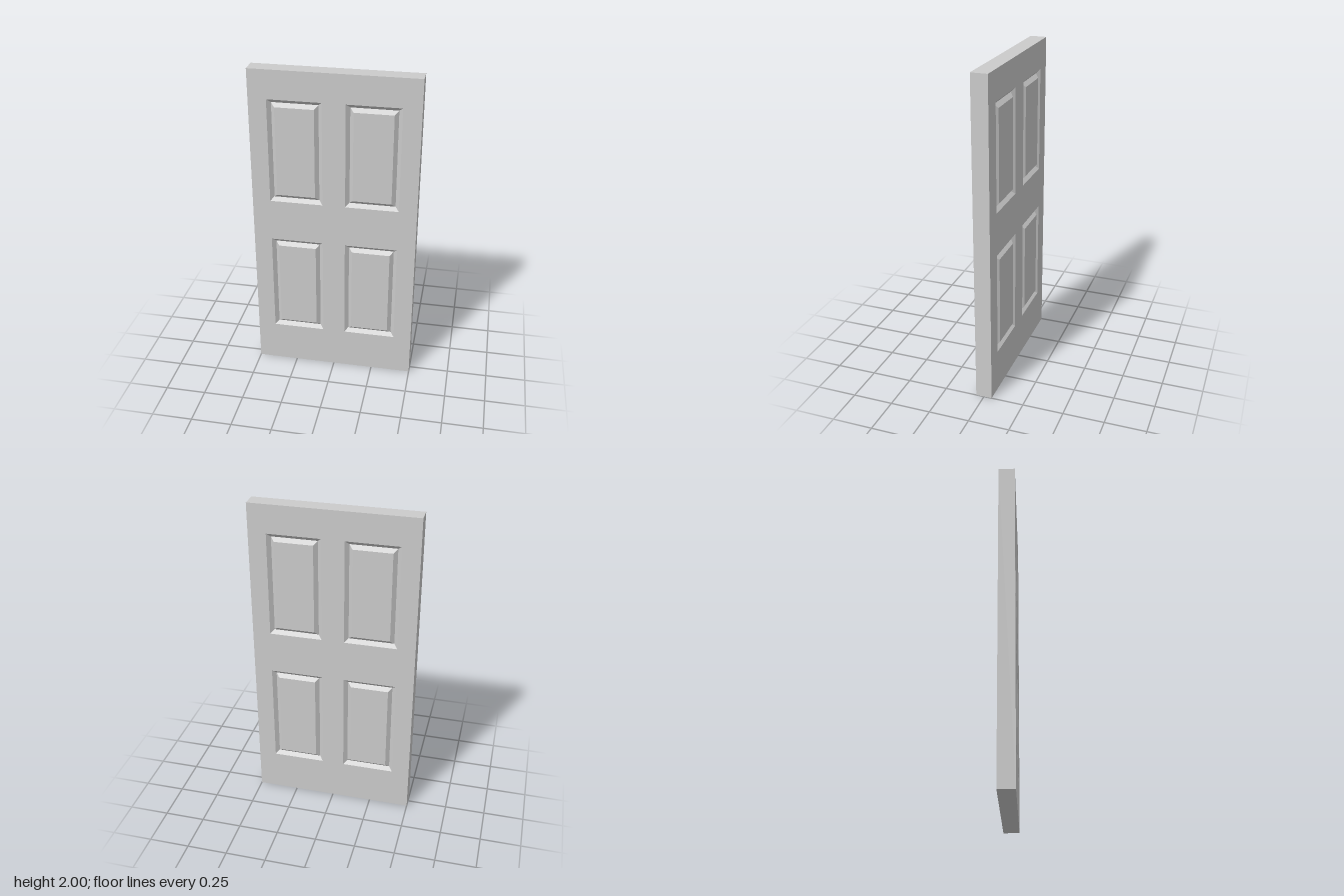
import * as THREE from 'three';

const W = 1, H = 2, T = 0.1;          // door slab
const PW = 0.322, PH = 0.648;         // panel outline
const GROOVE = 0.022, INSET = 0.045;  // groove depth, full moulding width
const PANELS = [];
for (const x of [-0.23, 0.23]) for (const y of [0.588, 1.5]) PANELS.push([x, y]);

const material = new THREE.MeshStandardMaterial({ color: 0xcccccc, flatShading: true });

function addMesh(parent, geometry, name) {
  const mesh = new THREE.Mesh(geometry, material);
  mesh.name = name;
  parent.add(mesh);
  return mesh;
}

// Corners of a centred rectangle, counter-clockwise seen from +z
const corners = (w, h, z) => [[-1, -1], [1, -1], [1, 1], [-1, 1]].map(([x, y]) => [x * w / 2, y * h / 2, z]);

// Band of faces joining successive rectangles [width, height, z]
function rectBands(rects) {
  const loops = rects.map((r) => corners(...r));
  const pos = [];
  for (let k = 0; k + 1 < loops.length; k++) {
    for (let i = 0; i < 4; i++) {
      const j = (i + 1) % 4;
      const a = loops[k][i], b = loops[k][j], c = loops[k + 1][j], d = loops[k + 1][i];
      pos.push(...a, ...b, ...c, ...a, ...c, ...d);
    }
  }
  const geometry = new THREE.BufferGeometry();
  geometry.setAttribute('position', new THREE.Float32BufferAttribute(pos, 3));
  geometry.computeVertexNormals();
  return geometry;
}

function rectPath(path, cx, cy, w, h) {
  corners(w, h, 0).forEach(([x, y], i) => (i ? path.lineTo(cx + x, cy + y) : path.moveTo(cx + x, cy + y)));
  path.closePath();
  return path;
}

// One face of the door: flat frame with four grooved, raised panels
function doorFace(name) {
  const face = new THREE.Group();
  face.name = name;
  const shape = rectPath(new THREE.Shape(), 0, H / 2, W, H);
  for (const [x, y] of PANELS) shape.holes.push(rectPath(new THREE.Path(), x, y, PW, PH));
  addMesh(face, new THREE.ShapeGeometry(shape), 'frame').position.z = T / 2;

  const iw = PW - 2 * INSET, ih = PH - 2 * INSET;
  const moulding = rectBands([
    [PW, PH, 0],
    [PW - INSET, PH - INSET, -GROOVE],
    [iw, ih, 0],
  ]);
  const field = new THREE.PlaneGeometry(iw, ih);
  for (const [x, y] of PANELS) {
    addMesh(face, moulding, 'panelMoulding').position.set(x, y, T / 2);
    addMesh(face, field, 'raisedPanel').position.set(x, y, T / 2);
  }
  return face;
}

export function createModel() {
  const door = new THREE.Group();
  door.name = 'door';

  // Side, top and bottom edges of the slab
  addMesh(door, rectBands([[W, H, -T / 2], [W, H, T / 2]]), 'slabEdges').position.y = H / 2;

  const back = doorFace('backFace');
  back.rotation.y = Math.PI;
  door.add(doorFace('frontFace'), back);
  return door;
}
